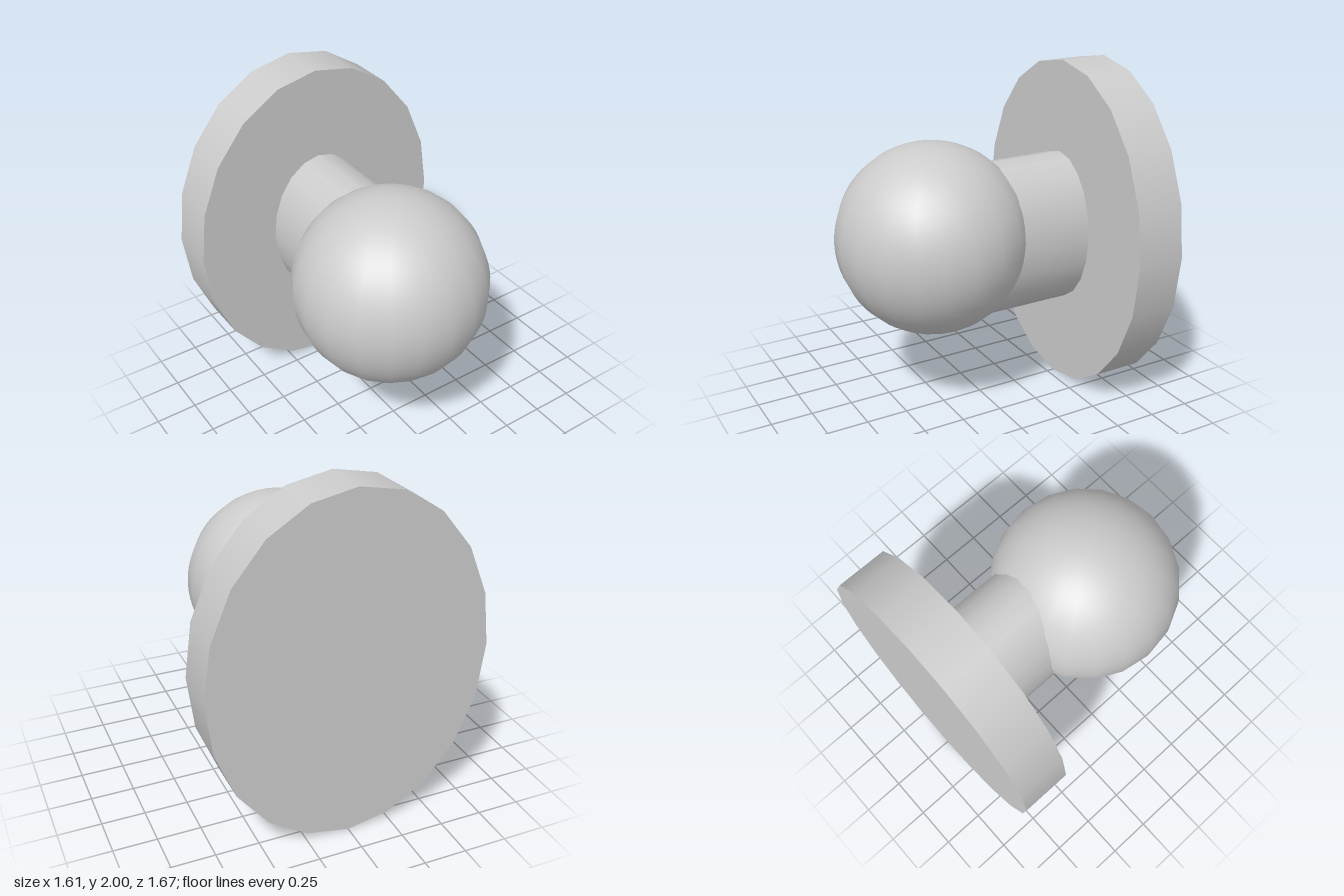
import * as THREE from 'three';

const SIDES = 20;
const material = new THREE.MeshStandardMaterial({ color: 0xcccccc });

// Oval cylinder lying along z, centred on y = 1
function ovalCylinder(name, rx, ry, zBack, zFront) {
  const geometry = new THREE.CylinderGeometry(1, 1, zFront - zBack, SIDES);
  geometry.rotateX(Math.PI / 2);
  geometry.scale(rx, ry, 1);
  const mesh = new THREE.Mesh(geometry, material);
  mesh.name = name;
  mesh.position.set(0, 1, (zBack + zFront) / 2);
  return mesh;
}

export function createModel() {
  const model = new THREE.Group();
  model.name = 'knob';

  // Flat oval plate at the back
  model.add(ovalCylinder('backPlate', 0.805, 1, -0.835, -0.545));

  // Oval neck running from the plate into the ball
  model.add(ovalCylinder('neck', 0.322, 0.458, -0.55, 0.25));

  // Round ball, slightly off the neck's axis
  const ball = new THREE.Mesh(new THREE.SphereGeometry(0.555, SIDES, 32), material);
  ball.name = 'ball';
  ball.position.set(-0.06, 1.05, 0.28);
  model.add(ball);

  return model;
}
